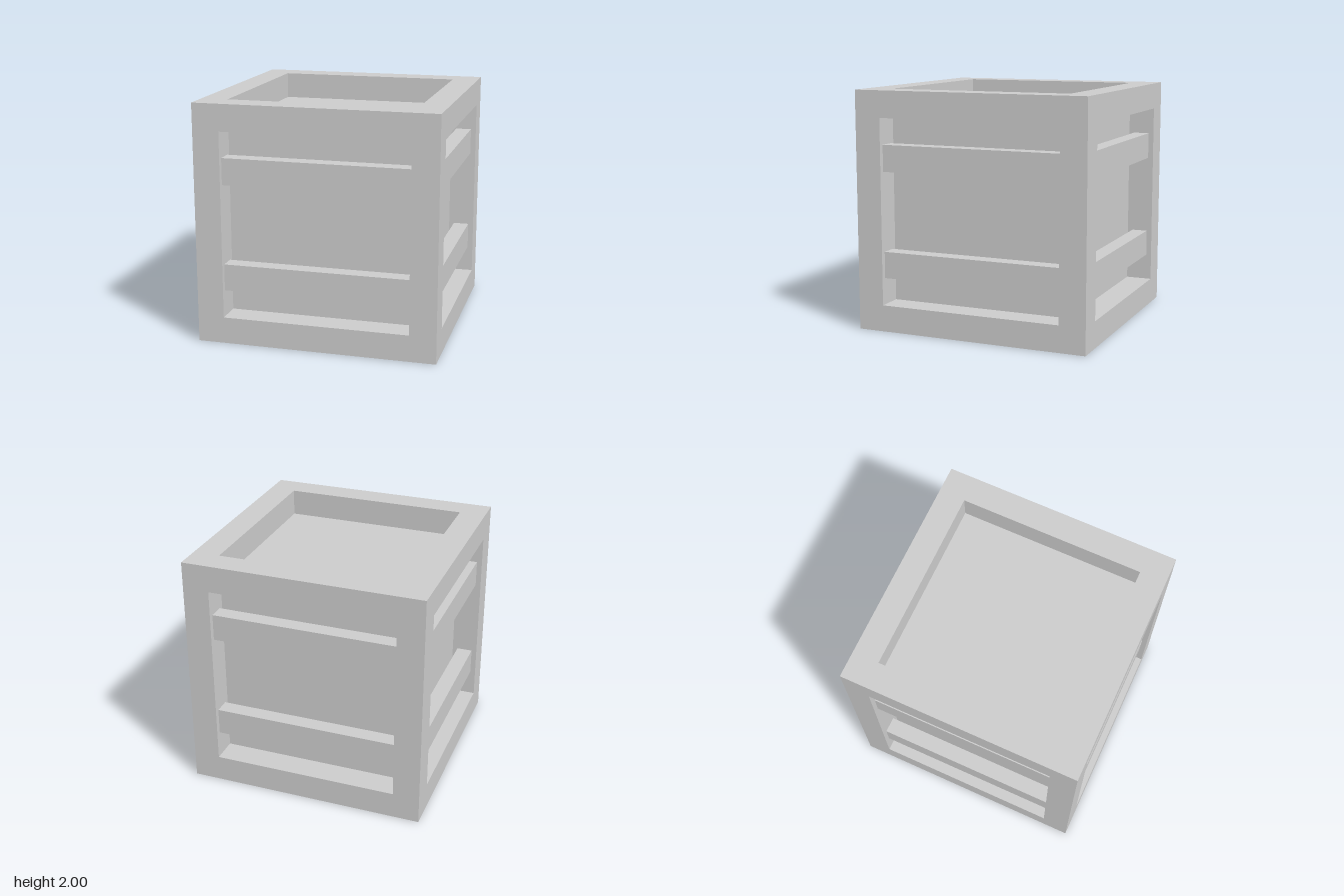
import * as THREE from 'three';

const BEAM = 2 / 9;             // square section of the frame beams
const INNER = 2 - 2 * BEAM;     // opening between the beams
const SLAT_DEPTH = BEAM * 0.6;  // slats float midway in the recess

export function createModel() {
  const crate = new THREE.Group();
  crate.name = 'crate';
  const material = new THREE.MeshStandardMaterial({ color: 0xcccccc, flatShading: true });

  function addBox(parent, name, size, position) {
    const mesh = new THREE.Mesh(new THREE.BoxGeometry(...size), material);
    mesh.name = name;
    mesh.position.set(...position);
    parent.add(mesh);
  }

  // Recessed body that forms all six panels
  addBox(crate, 'panels', [INNER, INNER, INNER], [0, 1, 0]);

  // Frame: four corner posts and eight rails
  const frame = new THREE.Group();
  frame.name = 'frame';
  crate.add(frame);
  const edge = 1 - BEAM / 2;
  for (const a of [-edge, edge]) {
    for (const b of [-edge, edge]) {
      addBox(frame, 'cornerPost', [BEAM, 2, BEAM], [a, 1, b]);
      addBox(frame, 'widthRail', [INNER, BEAM, BEAM], [0, 1 + a, b]);
      addBox(frame, 'depthRail', [BEAM, BEAM, INNER], [a, 1 + b, 0]);
    }
  }

  // Two horizontal slats across each of the four sides
  for (let i = 0; i < 4; i++) {
    const side = new THREE.Group();
    side.name = ['front', 'left', 'back', 'right'][i] + 'Slats';
    side.rotation.y = i * Math.PI / 2;
    for (const y of [5 / 9, 13 / 9]) {
      addBox(side, 'slat', [INNER, BEAM, SLAT_DEPTH], [0, y, edge]);
    }
    crate.add(side);
  }

  return crate;
}
